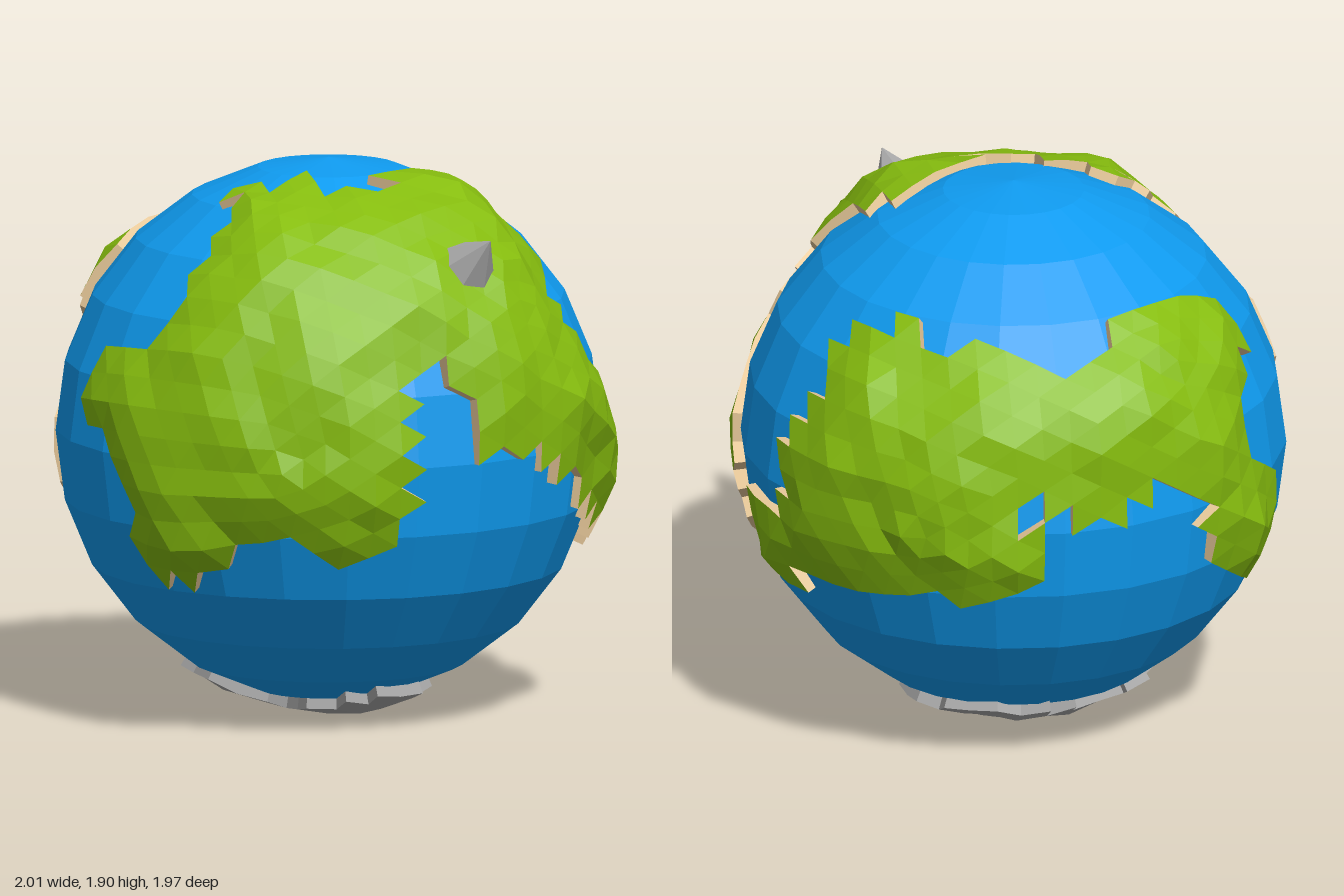
import * as THREE from 'three';
import { mergeVertices } from 'three/addons/utils/BufferGeometryUtils.js';

const CENTRE_Y = 0.98, OCEAN_R = 0.93;
const V = (x, y, z) => new THREE.Vector3(x, y, z);
const paint = (color) => new THREE.MeshStandardMaterial({ color, flatShading: true });

// Coast points: flat (u, v) pairs on a disc facing (azimuth, elevation), lifted onto the unit globe
function coast(azimuth, elevation, uv) {
  const a = THREE.MathUtils.degToRad(azimuth), e = THREE.MathUtils.degToRad(elevation);
  const right = V(Math.cos(a), 0, -Math.sin(a));
  const up = V(-Math.sin(a) * Math.sin(e), Math.cos(e), -Math.cos(a) * Math.sin(e));
  const out = V(Math.sin(a) * Math.cos(e), Math.sin(e), Math.cos(a) * Math.cos(e));
  const points = [];
  for (let i = 0; i < uv.length; i += 2) {
    const u = uv[i] / 0.955, v = uv[i + 1] / 0.955;
    const w = Math.sqrt(Math.max(0, 1 - u * u - v * v));
    points.push(V(0, 0, 0).addScaledVector(right, u).addScaledVector(up, v).addScaledVector(out, w).normalize());
  }
  return points;
}

// Azimuthal map around a centre direction, so that an outline can be treated as a flat polygon
function mapper(centre) {
  const c = centre.clone().normalize();
  const ref = Math.abs(c.y) > 0.9 ? V(1, 0, 0) : V(0, 1, 0);
  const ex = ref.clone().cross(c).normalize(), ey = c.clone().cross(ex);
  return (d) => {
    const x = d.dot(ex), y = d.dot(ey), angle = Math.acos(THREE.MathUtils.clamp(d.dot(c), -1, 1));
    const k = angle / (Math.hypot(x, y) || 1);
    return [x * k, y * k];
  };
}

function inside([x, y], poly) {
  let hit = false;
  for (let i = 0, j = poly.length - 1; i < poly.length; j = i++) {
    const [xi, yi] = poly[i], [xj, yj] = poly[j];
    if ((yi > y) !== (yj > y) && x < ((xj - xi) * (y - yi)) / (yj - yi) + xi) hit = !hit;
  }
  return hit;
}

// Shortest angle from a direction to the coastline
function coastDistance(d, outline) {
  let best = 9;
  outline.forEach((a, i) => {
    const b = outline[(i + 1) % outline.length];
    const ab = b.clone().sub(a);
    const t = THREE.MathUtils.clamp(d.clone().sub(a).dot(ab) / ab.lengthSq(), 0, 1);
    best = Math.min(best, a.clone().addScaledVector(ab, t).distanceTo(d));
  });
  return best;
}

const bumps = (d) => {
  const s = Math.sin(d.x * 127.1 + d.y * 311.7 + d.z * 74.7) * 43758.5453;
  return 0.6 * (s - Math.floor(s) - 0.5) + 0.4 * Math.sin(d.x * 9 + d.z * 5) * Math.sin(d.y * 8 + d.z * 6);
};

// Small dent in the eastern land
const crater = V(0.9, 0.03, -0.33).normalize();

// Raised shell: globe triangles inside the outline become the top, their open edges become cliffs
function landMass(name, outline, centre, { shore, rise, rough, top, cliff }) {
  const sphere = new THREE.IcosahedronGeometry(1, 10);
  sphere.deleteAttribute('normal');
  sphere.deleteAttribute('uv');
  const grid = mergeVertices(sphere, 1e-4);
  const pos = grid.attributes.position, index = grid.index.array;
  const dirs = [], surface = [];
  for (let i = 0; i < pos.count; i++) dirs.push(V(0, 0, 0).fromBufferAttribute(pos, i).normalize());
  const map = mapper(centre), poly = outline.map(map);
  const lift = (i) => {
    if (surface[i]) return surface[i];
    const d = dirs[i], inland = inside(map(d), poly) ? coastDistance(d, outline) : 0;
    const dent = 0.05 * Math.exp(-((d.distanceTo(crater) / 0.06) ** 2));
    const r = shore + rise * Math.min(1, inland / 0.22) + rough * bumps(d) * Math.min(1, 0.3 + inland / 0.12) - dent;
    return (surface[i] = d.clone().multiplyScalar(r));
  };

  const faces = [], walls = [], edges = new Map();
  for (let f = 0; f < index.length; f += 3) {
    const t = [index[f], index[f + 1], index[f + 2]];
    const mid = t.reduce((s, i) => s.add(dirs[i]), V(0, 0, 0)).normalize();
    if (mid.dot(centre.clone().normalize()) < -0.35 || !inside(map(mid), poly)) continue;
    t.forEach((i, k) => {
      faces.push(...lift(i).toArray());
      edges.set(`${i}_${t[(k + 1) % 3]}`, [i, t[(k + 1) % 3]]);
    });
  }
  for (const [a, b] of edges.values()) {
    if (edges.has(`${b}_${a}`)) continue;
    const A = lift(a), B = lift(b);
    const a0 = dirs[a].clone().multiplyScalar(0.9), b0 = dirs[b].clone().multiplyScalar(0.9);
    for (const p of [A, a0, b0, A, b0, B]) walls.push(...p.toArray());
  }

  const group = new THREE.Group();
  group.name = name;
  for (const [part, data, color] of [['Surface', faces, top], ['Cliffs', walls, cliff]]) {
    const g = new THREE.BufferGeometry();
    g.setAttribute('position', new THREE.Float32BufferAttribute(data, 3));
    g.computeVertexNormals();
    const mesh = new THREE.Mesh(g, paint(color));
    mesh.name = name + part;
    group.add(mesh);
  }
  return group;
}

export function createModel() {
  const globe = new THREE.Group();
  globe.name = 'globe';
  globe.position.y = CENTRE_Y;

  // Ocean
  const ocean = new THREE.Mesh(new THREE.SphereGeometry(OCEAN_R, 24, 12), paint(0x0f9bf0));
  ocean.name = 'ocean';
  globe.add(ocean);

  // Western land: front coast, far side, then the northern coast
  const west = [
    ...coast(0, 0, [0.32, 0.8, 0.28, 0.68, 0.32, 0.62, 0.24, 0.5, 0.32, 0.45, 0.28, 0.38, 0.48, 0.21, 0.63, 0.07,
      0.7, -0.11, 0.69, -0.3, 0.6, -0.37, 0.29, -0.17, 0.3, -0.07, 0.19, -0.11, -0.11, 0.06, -0.2, 0.01, -0.3, 0.07,
      -0.3, 0.29, -0.38, 0.35, -0.47, 0.29, -0.49, -0.16, -0.55, -0.23, -0.62, -0.37, -0.74, -0.27, -0.82, -0.24]),
    ...coast(220, 25, [0.73, -0.58, 0.61, -0.63, 0.66, -0.47, 0.57, -0.24, 0.46, -0.24, 0.41, -0.17, 0.52, 0.02,
      0.64, 0.06, 0.65, 0.19]),
    ...coast(0, 90, [-0.7, 0, -0.53, -0.04, -0.4, 0.1, -0.34, 0.02, -0.39, -0.07, -0.26, -0.11, -0.31, -0.25,
      -0.21, -0.27, -0.13, -0.37, -0.05, -0.28, 0.29, -0.27, 0.33, -0.36, 0.29, -0.5]),
  ];
  const green = { shore: 0.955, rise: 0.055, rough: 0.04, top: 0x86bd0e, cliff: 0xe8c99a };
  globe.add(landMass('westernLand', west, V(-0.45, 0.35, 0.8), green));

  // Eastern land: side coast, northern coast, back tip, then the southern coast
  const east = [
    ...coast(90, 0, [-0.41, -0.16, -0.37, -0.09, -0.17, -0.09, -0.1, 0.02, -0.16, 0.1, 0.02, 0.41, -0.04, 0.49,
      0.07, 0.64, 0.18, 0.62, 0.21, 0.7, 0.34, 0.56]),
    ...coast(0, 90, [0.63, 0.37, 0.54, 0.51, 0.41, 0.7, 0.2, 0.72, 0.17, 0.66, -0.28, 0.66]),
    ...coast(220, 25, [-0.15, 0.27, -0.15, 0.05, -0.25, 0.03, -0.35, -0.16, -0.33, -0.32, -0.17, -0.44, -0.17, -0.53,
      -0.27, -0.66, -0.35, -0.68, -0.45, -0.58, -0.56, -0.44]),
    ...coast(145, -25, [0.59, 0.3, 0.46, 0.5, 0.3, 0.43, 0.14, 0.41, 0.03, 0.5, 0.02, 0.56, -0.07, 0.51, -0.07, 0.43,
      0.02, 0.4, 0.02, 0.27, -0.19, 0.17]),
    ...coast(90, 0, [0.55, -0.3, 0.44, -0.23, 0.25, -0.28, 0.05, -0.26, -0.02, -0.24, -0.1, -0.38, -0.36, -0.34,
      -0.3, -0.22]),
  ];
  globe.add(landMass('easternLand', east, V(0.75, 0.25, -0.65), green));

  // Southern rock that the globe stands on
  const south = coast(0, -90, [0.44, -0.12, 0.38, -0.32, 0.2, -0.42, -0.1, -0.37, -0.15, -0.46, -0.4, -0.32,
    -0.28, -0.17, -0.14, -0.08, -0.2, 0.2, -0.14, 0.39, 0.1, 0.33, 0.3, 0.2, 0.43, 0.06]);
  globe.add(landMass('southernRock', south, V(0, -1, 0),
    { shore: 0.96, rise: 0.02, rough: 0.04, top: 0xaaaaaa, cliff: 0xaaaaaa }));

  // Mountain peak
  const dir = V(-0.145, 0.72, 0.82).normalize();
  const peak = new THREE.Mesh(new THREE.ConeGeometry(0.1, 0.16, 7), paint(0xaaaaaa));
  peak.name = 'mountainPeak';
  peak.position.copy(dir).multiplyScalar(1.07);
  peak.quaternion.setFromUnitVectors(V(0, 1, 0), dir);
  globe.add(peak);

  const model = new THREE.Group();
  model.add(globe);
  return model;
}
